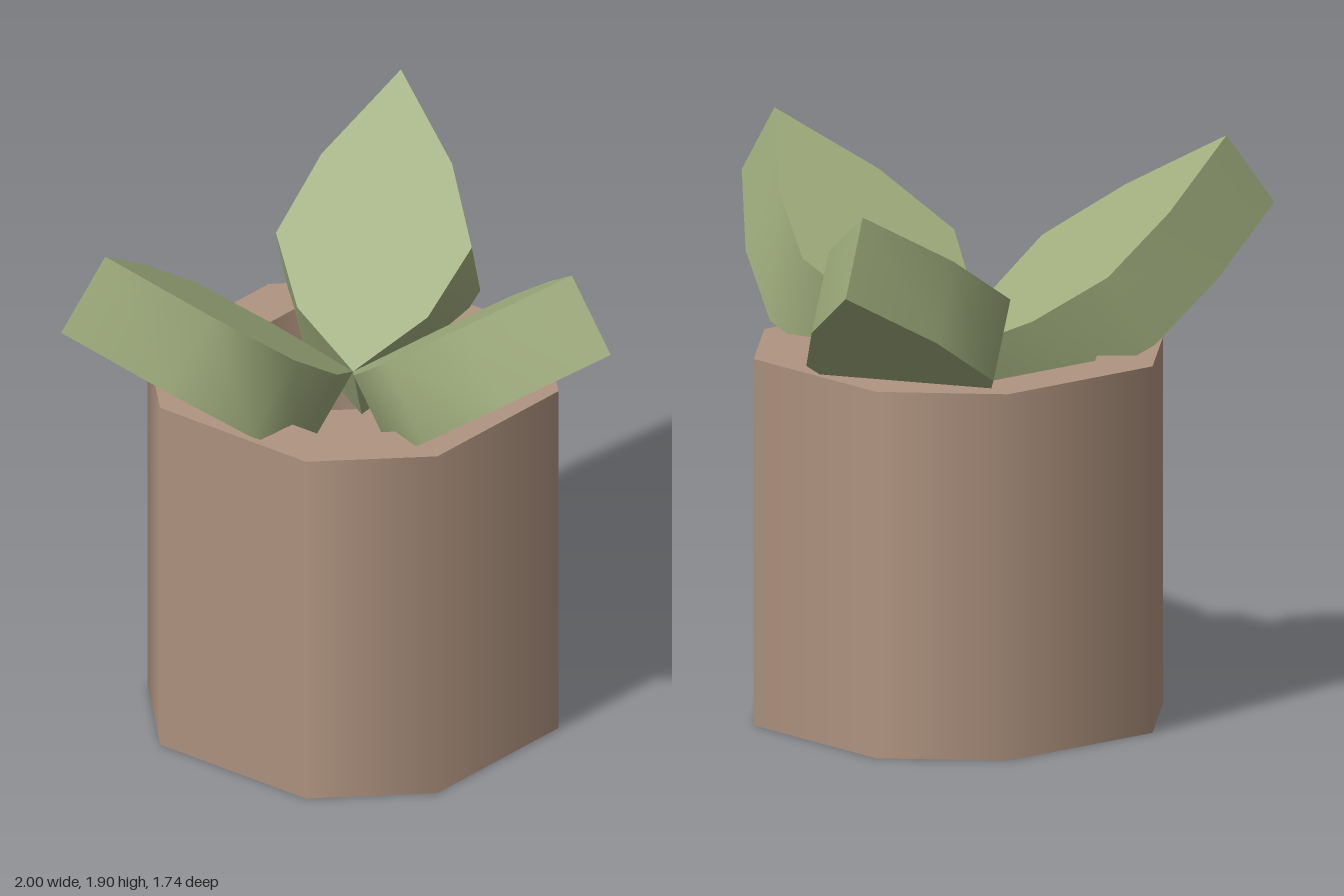
import * as THREE from 'three';
import { toCreasedNormals } from 'three/addons/utils/BufferGeometryUtils.js';

export function createModel() {
  const model = new THREE.Group();
  model.name = 'pottedSprout';

  const clay = new THREE.MeshStandardMaterial({ color: 0xb09480 });
  clay.name = 'clay brown';
  const green = new THREE.MeshStandardMaterial({ color: 0xa0ad7d });
  green.name = 'leaf green';

  // Pot: eight-sided, each section swept separately so its rims stay sharp
  const pot = new THREE.Group();
  pot.name = 'pot';
  pot.position.set(0.035, 0, -0.245);
  model.add(pot);

  const half = 0.625, cut = 0.315, inner = 0.44 / half;
  const corners = [
    [cut, half], [half, cut], [half, -cut], [cut, -half],
    [-cut, -half], [-half, -cut], [-half, cut], [-cut, half],
  ];
  const height = 1.25, floorY = 0.87;

  function potSection(name, r0, y0, r1, y1) {
    const radii = [r0, r1];
    const geo = new THREE.LatheGeometry(
      [new THREE.Vector2(r0, y0), new THREE.Vector2(r1, y1)], 8, Math.PI / 8);
    const pos = geo.attributes.position;
    for (let i = 0; i < pos.count; i++) {
      const [x, z] = corners[Math.floor(i / 2) % 8];
      pos.setX(i, x * radii[i % 2]);
      pos.setZ(i, z * radii[i % 2]);
    }
    const mesh = new THREE.Mesh(geo, clay);
    mesh.name = name;
    pot.add(mesh);
  }
  potSection('potBase', 0, 0, 1, 0);
  potSection('potWall', 1, 0, 1, height);
  potSection('potRim', 1, height, inner, height);
  potSection('potInnerWall', inner, height, inner, floorY);
  potSection('potFloor', inner, floorY, 0, floorY);

  // Leaves: thick pointed blades rising from the middle of the pot
  const outline = [
    [0, 0], [0.22, 0.225], [0.33, 0.5], [0.22, 0.81],
    [0, 1.15], [-0.22, 0.81], [-0.33, 0.5], [-0.22, 0.225],
  ].map(([x, y]) => new THREE.Vector2(x, y));
  const leafGeo = toCreasedNormals(
    new THREE.ExtrudeGeometry(new THREE.Shape(outline), { depth: 0.294, bevelEnabled: false }),
    THREE.MathUtils.degToRad(45));

  const leaves = { frontLeaf: 0, leftLeaf: 120, rightLeaf: -111 };
  for (const [name, turn] of Object.entries(leaves)) {
    const leaf = new THREE.Mesh(leafGeo, green);
    leaf.name = name;
    leaf.position.set(0.035, 1.245, -0.245);
    leaf.rotation.set(0.963, THREE.MathUtils.degToRad(turn), 0, 'YXZ');
    model.add(leaf);
  }

  return model;
}
